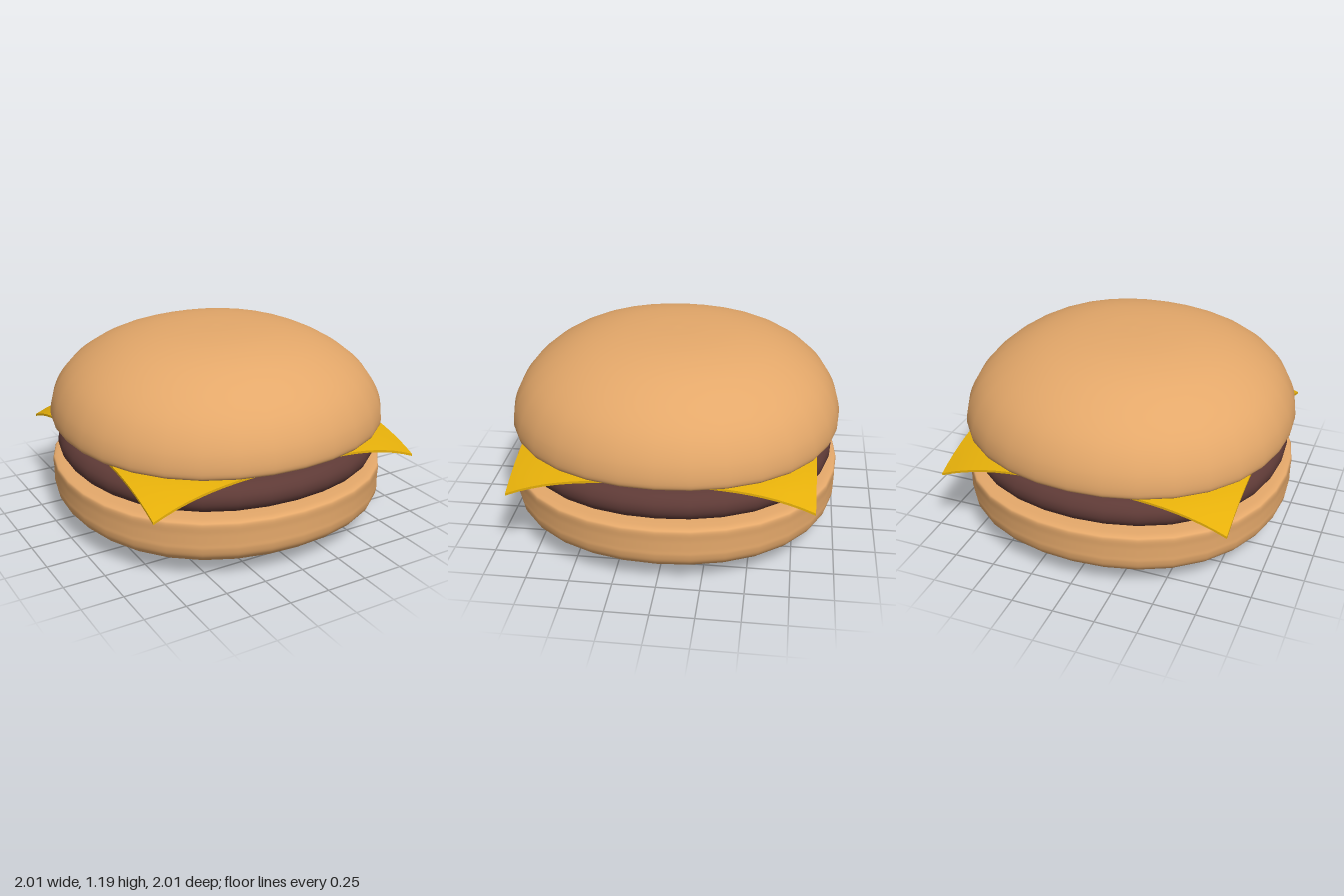
import * as THREE from 'three';

const SEGMENTS = 32;

// Smooth turned solid from [radius, height] points, bulging slightly along the diagonals
function turned(name, profile, color) {
  const curve = new THREE.CatmullRomCurve3(
    profile.map(([r, y]) => new THREE.Vector3(r, y, 0)), false, 'centripetal');
  const points = curve.getPoints(60).map(p => new THREE.Vector2(Math.max(p.x, 0), p.y));
  const geometry = new THREE.LatheGeometry(points, SEGMENTS);
  const pos = geometry.attributes.position;
  for (let i = 0; i < pos.count; i++) {
    const x = pos.getX(i), z = pos.getZ(i);
    const bulge = 1 + 0.03 * Math.sin(2 * Math.atan2(z, x)) ** 2;
    pos.setX(i, x * bulge);
    pos.setZ(i, z * bulge);
  }
  const mesh = new THREE.Mesh(geometry, new THREE.MeshStandardMaterial({ color }));
  mesh.name = name;
  return mesh;
}

// Thin square slice, flat in the middle, with corners that droop ever more steeply
function cheeseSlice() {
  const half = 0.87;
  const geometry = new THREE.BoxGeometry(2 * half, 0.014, 2 * half, 24, 1, 24);
  const pos = geometry.attributes.position;
  for (let i = 0; i < pos.count; i++) {
    const r2 = pos.getX(i) ** 2 + pos.getZ(i) ** 2;
    const droop = 0.127 * Math.max(0, r2 / half ** 2 - 1) ** 1.5;
    pos.setY(i, pos.getY(i) + 0.597 - droop);
  }
  geometry.computeVertexNormals();
  const mesh = new THREE.Mesh(geometry, new THREE.MeshStandardMaterial({ color: 0xe6b00a }));
  mesh.name = 'cheeseSlice';
  return mesh;
}

export function createModel() {
  const model = new THREE.Group();
  model.name = 'burger';
  const bun = 0xe4a86a;

  // Bottom bun: flat top, upright side, rounded underside
  model.add(turned('bottomBun', [
    [0, 0.003], [0.3, 0.01], [0.6, 0.035], [0.8, 0.068], [0.93, 0.115], [0.985, 0.165],
    [1, 0.215], [1, 0.25], [1, 0.31], [1, 0.372], [0.985, 0.382], [0.93, 0.388],
    [0.6, 0.39], [0, 0.39],
  ], bun));

  // Patty: disc with a fully rounded rim
  model.add(turned('patty', [
    [0, 0.386], [0.6, 0.386], [0.85, 0.392], [0.925, 0.413], [0.957, 0.45], [0.965, 0.485],
    [0.957, 0.52], [0.925, 0.557], [0.85, 0.578], [0.6, 0.587], [0, 0.588],
  ], 0x5e3a36));

  model.add(cheeseSlice());

  // Top bun: domed crown over a tucked-in rim
  model.add(turned('topBun', [
    [0, 0.604], [0.6, 0.604], [0.85, 0.608], [0.95, 0.618], [0.99, 0.636], [1, 0.67],
    [0.982, 0.775], [0.915, 0.9], [0.8, 1.01], [0.62, 1.11], [0.42, 1.167], [0.2, 1.192], [0, 1.197],
  ], bun));

  return model;
}
